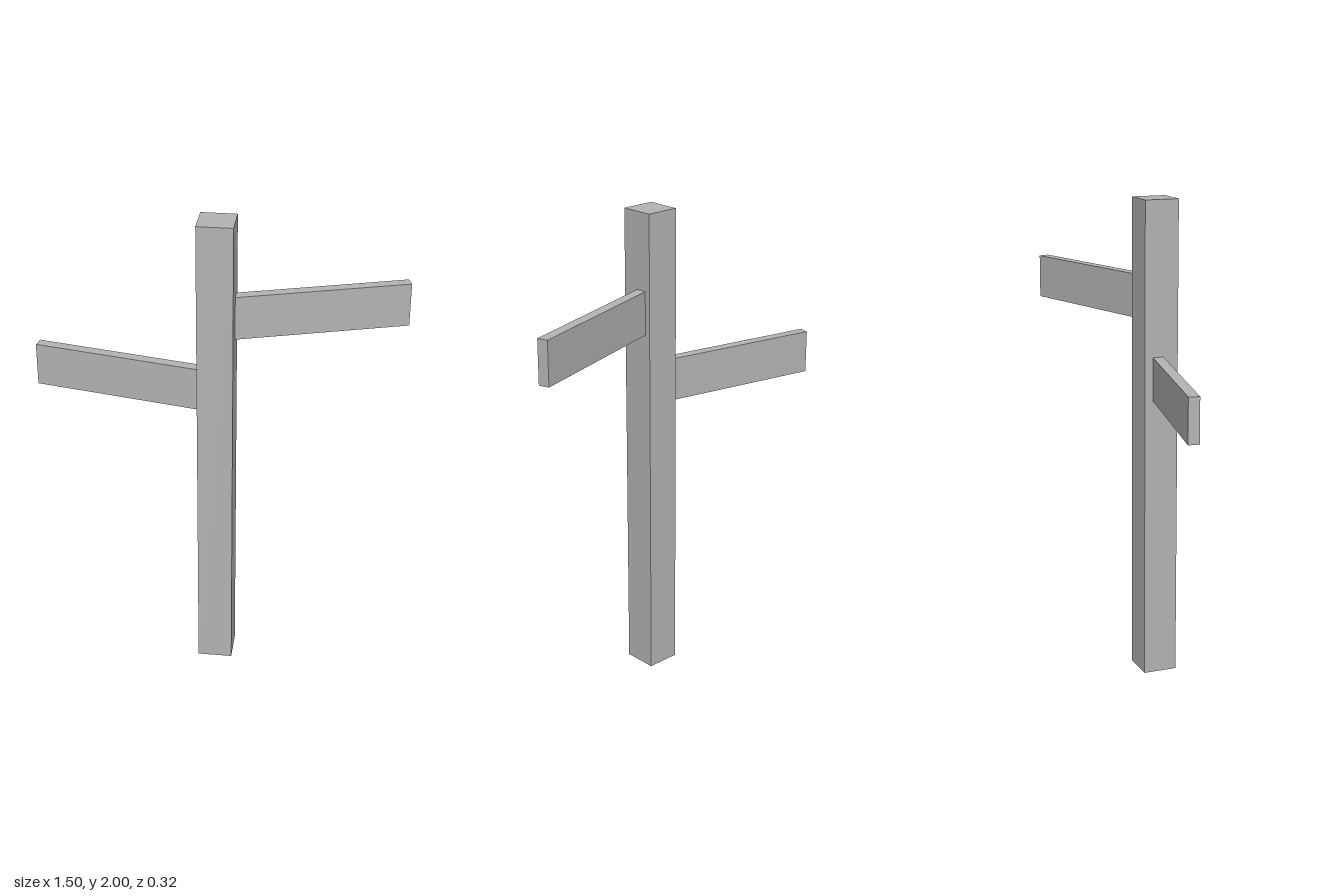
import * as THREE from 'three';

export function createModel() {
  const model = new THREE.Group();
  model.name = 'signpost';
  const grey = new THREE.MeshStandardMaterial({ color: 0xb4b4b4 });
  grey.name = 'plain grey';

  // Square upright post
  const post = new THREE.Mesh(new THREE.BoxGeometry(0.143, 2, 0.143), grey);
  post.name = 'post';
  post.position.set(0.0065, 1, 0.088);
  model.add(post);

  // Sign board running from inside the post to the middle of its outer end, given as [x, z]
  function addBoard(name, inner, outer, bottom, top) {
    const dx = outer[0] - inner[0], dz = outer[1] - inner[1];
    const board = new THREE.Mesh(new THREE.BoxGeometry(Math.hypot(dx, dz), top - bottom, 0.044), grey);
    board.name = name;
    board.position.set((inner[0] + outer[0]) / 2, (bottom + top) / 2, (inner[1] + outer[1]) / 2);
    board.rotation.y = Math.atan2(-dz, dx);
    model.add(board);
  }
  addBoard('upperLeftBoard', [0.03, 0.079], [0.7435, -0.141], 1.505, 1.685);
  addBoard('lowerRightBoard', [-0.02, 0.083], [-0.748, -0.066], 1.187, 1.367);

  return model;
}
